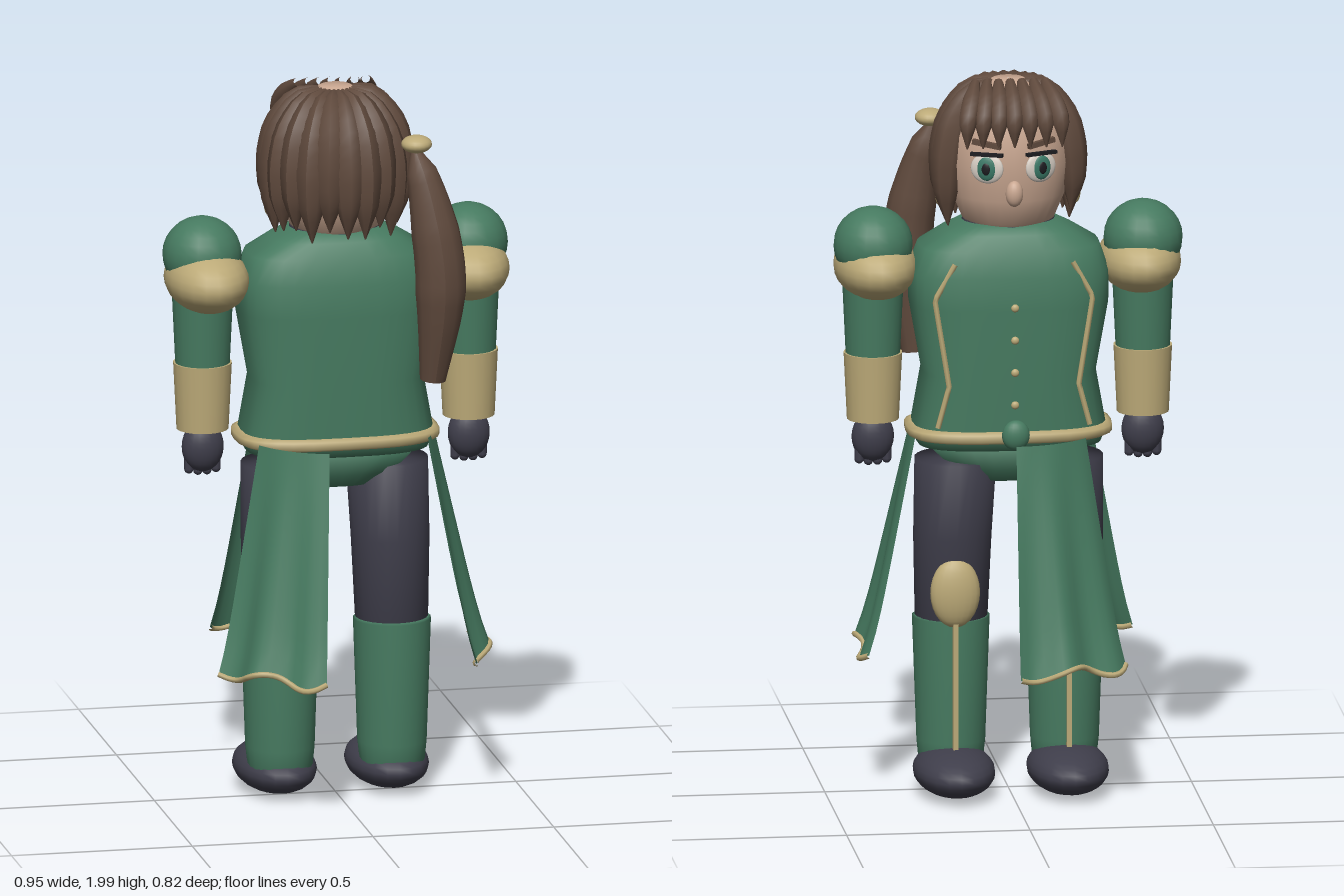
import * as THREE from 'three';

const mat = (name, color, side = THREE.FrontSide) => {
  const m = new THREE.MeshStandardMaterial({ color, side });
  m.name = name;
  return m;
};

export function createModel() {
  const root = new THREE.Group();
  root.name = 'coatedFigure';
  const green = mat('green cloth', 0x467a60, THREE.DoubleSide);
  const gold = mat('pale gold', 0xbcaa78);
  const dark = mat('charcoal', 0x3f3e4b);
  const brown = mat('brown hair', 0x604a3d);
  const skin = mat('skin', 0xc8a690);
  const white = mat('eye white', 0xd9d0c6);
  const iris = mat('iris green', 0x3a7866);
  const black = mat('pupil black', 0x1c1c20);

  const add = (name, geo, material, pos = [0, 0, 0], parent = root) => {
    const m = new THREE.Mesh(geo, material);
    m.name = name;
    m.position.set(...pos);
    parent.add(m);
    return m;
  };
  const ball = (name, material, pos, r, parent = root) => {
    const m = add(name, new THREE.SphereGeometry(1, 20, 14), material, pos, parent);
    m.scale.set(...r);
    return m;
  };

  // Closed body from rings [y, rx, rz, cx, cz]; p > 2 makes the section squarer
  const loft = (rings, p = 2, n = 24) => {
    const pos = [], idx = [];
    const first = rings[0], last = rings[rings.length - 1];
    const all = [[first[0], 0.001, 0.001, first[3], first[4]], ...rings,
      [last[0], 0.001, 0.001, last[3], last[4]]];
    const bend = (v) => Math.sign(v) * Math.abs(v) ** (2 / p);
    all.forEach(([y, rx, rz, cx = 0, cz = 0], j) => {
      for (let i = 0; i < n; i++) {
        const a = (i / n) * Math.PI * 2;
        pos.push(cx + rx * bend(Math.cos(a)), y, cz + rz * bend(Math.sin(a)));
        if (j === all.length - 1) continue;
        const b = j * n + i, c = j * n + ((i + 1) % n);
        idx.push(b, b + n, c, c, b + n, c + n);
      }
    });
    const g = new THREE.BufferGeometry();
    g.setAttribute('position', new THREE.Float32BufferAttribute(pos, 3));
    g.setIndex(idx);
    g.computeVertexNormals();
    return g;
  };

  // Tapered lock of hair along a path, radii spread evenly over its length
  const lock = (points, radii, n = 14, sides = 8) => {
    const curve = new THREE.CatmullRomCurve3(points.map((q) => new THREE.Vector3(...q)));
    const g = new THREE.TubeGeometry(curve, n, 1, sides);
    const a = g.attributes.position, v = new THREE.Vector3();
    for (let k = 0; k < a.count; k++) {
      const t = Math.floor(k / (sides + 1)) / n;
      const f = t * (radii.length - 1), i = Math.min(Math.floor(f), radii.length - 2);
      const r = THREE.MathUtils.lerp(radii[i], radii[i + 1], f - i);
      const c = curve.getPointAt(t);
      v.fromBufferAttribute(a, k).sub(c).multiplyScalar(r).add(c);
      a.setXYZ(k, v.x, v.y, v.z);
    }
    g.computeVertexNormals();
    return g;
  };
  const cord = (points, r, bendy = true) => {
    const q = points.map((c) => new THREE.Vector3(...c));
    const curve = new THREE.CatmullRomCurve3(q, false, 'catmullrom', bendy ? 0.5 : 0.02);
    return new THREE.TubeGeometry(curve, 28, r, 6);
  };

  // Torso, hips, neck, belt
  add('torso', loft([[0.98, 0.25, 0.15], [1.02, 0.265, 0.155], [1.18, 0.236, 0.155],
    [1.37, 0.27, 0.162], [1.46, 0.272, 0.157], [1.53, 0.245, 0.138],
    [1.57, 0.18, 0.115], [1.595, 0.13, 0.09]], 3, 32), green);
  add('hips', loft([[0.88, 0.11, 0.08], [0.92, 0.17, 0.12], [1.0, 0.25, 0.15]], 2.4, 28), green);
  add('neck', new THREE.CylinderGeometry(0.12, 0.14, 0.1, 20), dark, [0, 1.58, 0]).scale.z = 0.75;
  add('belt', loft([[1.0, 0.265, 0.155], [1.008, 0.28, 0.168], [1.027, 0.28, 0.168],
    [1.035, 0.265, 0.155]], 3, 32), gold);
  ball('buckle', green, [0, 1.03, -0.178], [0.038, 0.042, 0.025]);
  for (const y of [1.38, 1.29, 1.2, 1.11]) ball('button', gold, [0, y, -0.162], [0.011, 0.011, 0.008]);

  // Head and face
  add('head', loft([[1.575, 0.08, 0.07], [1.6, 0.125, 0.112], [1.67, 0.155, 0.138],
    [1.76, 0.168, 0.149], [1.84, 0.162, 0.144], [1.91, 0.137, 0.122],
    [1.96, 0.092, 0.082], [1.985, 0.04, 0.035]]), skin);
  ball('nose', skin, [0, 1.695, -0.145], [0.024, 0.036, 0.022]);
  for (const s of [-1, 1]) {
    const eye = new THREE.Group();
    eye.name = 'eye';
    eye.position.set(s * 0.073, 1.765, -0.132);
    eye.rotation.y = -s * 0.38;
    root.add(eye);
    ball('eyeWhite', white, [0, 0, 0], [0.046, 0.042, 0.012], eye);
    ball('iris', iris, [0, 0, -0.007], [0.027, 0.033, 0.008], eye);
    ball('pupil', black, [0, 0, -0.012], [0.013, 0.018, 0.005], eye);
    add('lash', new THREE.BoxGeometry(0.09, 0.009, 0.014), black, [0, 0.039, -0.005], eye);
    add('eyebrow', new THREE.BoxGeometry(0.08, 0.014, 0.014), brown, [0, 0.068, -0.004], eye).rotation.z = s * 0.15;
    ball('ear', skin, [s * 0.165, 1.72, -0.01], [0.022, 0.04, 0.03]);
    ball('earring', gold, [s * 0.185, 1.67, 0.005], [0.014, 0.04, 0.018]);
  }

  // Hair fanned round the crown
  const count = 13;
  for (let i = 0; i < count; i++) {
    const a = ((i / (count - 1)) * 2 - 1) * 1.75;
    const tip = 1.6 + 0.018 * Math.cos(i * 2.4);
    const path = [[0.03, 1.97], [0.095, 1.955], [0.145, 1.885], [0.168, 1.79], [0.175, 1.69], [0.17, tip]]
      .map(([r, y]) => [Math.sin(a) * r, y, Math.cos(a) * r * 1.02]);
    add('hairLock', lock(path, [0.012, 0.032, 0.046, 0.047, 0.035, 0.002]), brown);
  }
  // Fringe
  for (let i = -3; i <= 3; i++) {
    const x = i * 0.042;
    add('fringeLock', lock([[x * 0.75, 1.985, -0.045], [x * 0.87, 1.95, -0.1],
      [x, 1.9, -0.146], [x * 1.03, 1.825, -0.154]], [0.012, 0.026, 0.025, 0.002], 10), brown);
  }
  // Side tail and its tie
  add('ponytail', lock([[0.185, 1.85, 0.14], [0.222, 1.7, 0.17], [0.25, 1.52, 0.188],
    [0.252, 1.4, 0.186], [0.236, 1.19, 0.165]],
  [0.001, 0.042, 0.055, 0.066, 0.069, 0.07, 0.06, 0.048, 0.036], 24, 12), brown);
  add('ponytailEnd', new THREE.CircleGeometry(0.036, 12), brown, [0.236, 1.191, 0.165]).rotation.x = Math.PI / 2;
  ball('hairTie', gold, [0.195, 1.845, 0.145], [0.042, 0.024, 0.042]);

  // Arms, legs and coat trim on both sides
  for (const s of [-1, 1]) {
    const ax = s * 0.368;
    ball('shoulderCap', green, [ax, 1.53, 0], [0.108, 0.105, 0.113]);
    ball('pauldron', gold, [s * 0.36, 1.467, 0.02], [0.113, 0.09, 0.175]);
    add('sleeve', new THREE.CylinderGeometry(0.088, 0.074, 0.3, 20), green, [ax, 1.37, 0.005]);
    add('cuff', new THREE.CylinderGeometry(0.08, 0.071, 0.185, 20), gold, [ax, 1.138, 0.005]);
    ball('hand', dark, [ax, 0.995, 0.008], [0.058, 0.07, 0.043]);
    for (let f = 0; f < 4; f++) {
      add('finger', new THREE.CapsuleGeometry(0.013, 0.03, 4, 8), dark,
        [ax + (f - 1.5) * 0.025, 0.94 + 0.005 * Math.abs(f - 1.5), 0.005]);
    }
    const lx = s * 0.155;
    add('thigh', loft([[0.45, 0.098, 0.095, lx, 0.008], [0.72, 0.107, 0.106, lx * 0.98, 0],
      [0.935, 0.112, 0.118, s * 0.145, -0.012]]), dark);
    add('boot', loft([[0.06, 0.07, 0.07, lx, 0.015], [0.09, 0.088, 0.09, lx, 0.012],
      [0.15, 0.094, 0.1, lx, 0.01], [0.49, 0.106, 0.103, lx, 0.01], [0.495, 0.1, 0.097, lx, 0.01]]), green);
    ball('foot', dark, [lx, 0.075, -0.062], [0.111, 0.067, 0.188]);
    ball('kneePad', gold, [lx, 0.575, -0.09], [0.068, 0.097, 0.036]);
    add('shinStripe', new THREE.BoxGeometry(0.014, 0.36, 0.02), gold, [lx, 0.315, -0.097]);
    add('coatTrim', cord([[s * 0.16, 1.5, -0.134], [s * 0.215, 1.4, -0.131],
      [s * 0.177, 1.16, -0.135], [s * 0.207, 1.045, -0.132]], 0.008, false), gold);
  }

  // Three flared coat tails, evenly spaced, with gold hems
  const tailPoint = (centre, u, v) => {
    const a = centre + (u - 0.5) * 0.82;
    const fold = 0.014 * Math.sin(u * 13) * v;
    const r = 0.268 + 0.125 * v + 0.012 * v ** 8 + fold;
    return [-Math.sin(a) * r, 1.02 - v * (0.61 + 0.018 * Math.sin(u * 9)), Math.cos(a) * r];
  };
  for (let k = 0; k < 3; k++) {
    const centre = (38.5 + k * 120) * Math.PI / 180;
    const g = new THREE.PlaneGeometry(1, 1, 14, 10);
    const a = g.attributes.position;
    for (let i = 0; i < a.count; i++) a.setXYZ(i, ...tailPoint(centre, 0.5 - a.getX(i), 0.5 - a.getY(i)));
    g.computeVertexNormals();
    add('coatTail', g, green);
    const hem = Array.from({ length: 13 }, (_, i) => tailPoint(centre, i / 12, 1));
    add('coatTailHem', cord(hem, 0.008), gold);
  }
  return root;
}
